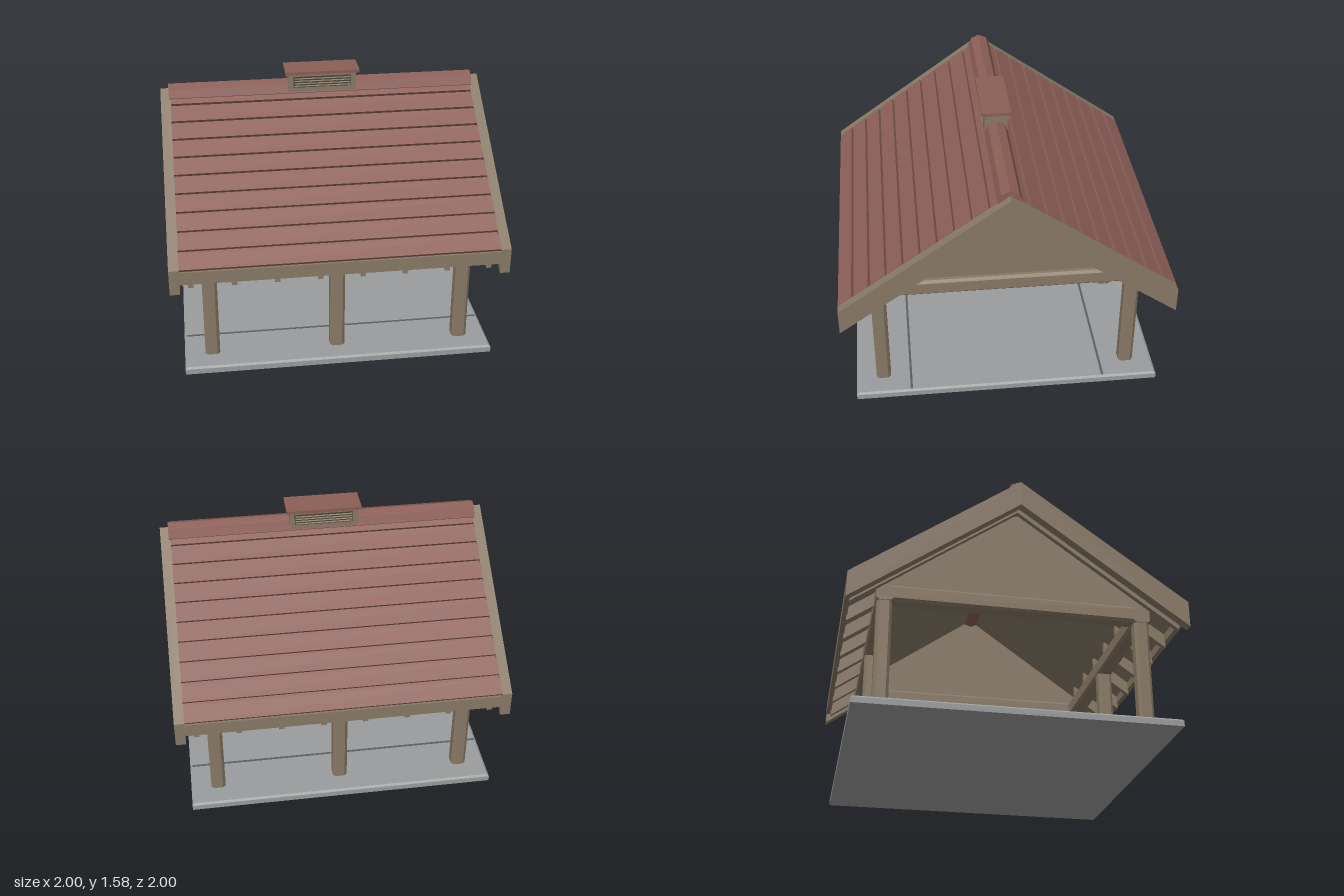
import * as THREE from 'three';

const flat = (name, color) => {
  const m = new THREE.MeshStandardMaterial({ color });
  m.name = name;
  return m;
};

export function createModel() {
  const timber = flat('timber', 0x887966);
  const red = flat('roof red', 0x8b5f57);
  const concrete = flat('concrete', 0x9b9c9d);
  const joint = flat('joint grey', 0x5c5e60);
  const shade = flat('louvre shade', 0x4b4337);
  const model = new THREE.Group();
  model.name = 'pavilion';

  const add = (name, geo, mat, x = 0, y = 0, z = 0) => {
    const mesh = new THREE.Mesh(geo, mat);
    mesh.name = name;
    mesh.position.set(x, y, z);
    model.add(mesh);
    return mesh;
  };
  const box = (name, mat, w, h, d, x, y, z) =>
    add(name, new THREE.BoxGeometry(w, h, d), mat, x, y, z);

  // Extrudes a [z, y] profile along x from x0 to x1
  const alongX = (name, mat, points, x0, x1) => {
    const shape = new THREE.Shape(points.map(([z, y]) => new THREE.Vector2(-z, y)));
    const geo = new THREE.ExtrudeGeometry(shape, { depth: x1 - x0, bevelEnabled: false });
    geo.rotateY(Math.PI / 2);
    return add(name, geo, mat, x0);
  };

  // Square timber with chamfered long edges, centred, running along z
  const chamfered = (size, length, c) => {
    const a = size / 2, b = a - c;
    const shape = new THREE.Shape(
      [[b, -a], [a, -b], [a, b], [b, a], [-b, a], [-a, b], [-a, -b], [-b, -a]]
        .map(([x, y]) => new THREE.Vector2(x, y)));
    return new THREE.ExtrudeGeometry(shape, { depth: length, bevelEnabled: false })
      .translate(0, 0, -length / 2);
  };

  // Floor slab with a bevelled top edge and two joints
  box('slab', concrete, 1.88, 0.034, 1.88, 0, 0.017, 0);
  const rim = new THREE.CylinderGeometry(0.928 * Math.SQRT2, 0.94 * Math.SQRT2, 0.011, 4, 1)
    .rotateY(Math.PI / 4).toNonIndexed();
  rim.computeVertexNormals();
  add('slabTop', rim, concrete, 0, 0.0395, 0);
  for (const z of [-0.6, 0.6]) box('slabJoint', joint, 1.85, 0.003, 0.014, 0, 0.0455, z);

  // Posts
  for (const z of [-0.77, 0.77]) {
    for (const x of [-0.77, 0, 0.77]) {
      const post = chamfered(0.09, 0.68, 0.017).rotateX(Math.PI / 2);
      add('post', post, timber, x, 0.38, z);
    }
  }

  // Ring of beams on the posts
  for (const s of [-1, 1]) {
    add('gableBeam', chamfered(0.1, 1.64, 0.015), timber, s * 0.77, 0.752, 0);
    add('eaveBeam', chamfered(0.1, 1.64, 0.015).rotateY(Math.PI / 2), timber, 0, 0.75, s * 0.77);
  }

  // Roof lines share one slope; height at distance z from the ridge
  const SLOPE = 0.715;
  const at = (top, z) => top - SLOPE * z;
  // Inverted V band between two roof lines
  const chevron = (top, bottom, z) => [
    [0, top], [z, at(top, z)], [z, at(bottom, z)],
    [0, bottom], [-z, at(bottom, z)], [-z, at(top, z)],
  ];

  alongX('roofDeck', timber, chevron(1.44, 1.415, 0.98), -0.94, 0.94);
  alongX('roofUnderlay', red, chevron(1.457, 1.44, 0.98), -0.94, 0.94);

  for (const s of [-1, 1]) {
    const x = s * 0.97;
    alongX('bargeboard', timber, chevron(1.48, 1.322, 1), x - 0.03, x + 0.03);
    alongX('gableWall', timber, [[-0.86, 0.8], [0.86, 0.8], [0, 1.415]],
      s * 0.77 - 0.015, s * 0.77 + 0.015);
    alongX('gableRafter', timber, chevron(1.42, 1.33, 0.975), s * 0.877 - 0.016, s * 0.877 + 0.016);
  }

  // Eaves: fascia, rafter tails and roof courses on both slopes
  const len = Math.hypot(1, SLOPE);
  const nz = SLOPE / len, ny = 1 / len, thick = 0.022;
  for (const s of [-1, 1]) {
    box('fascia', timber, 1.88, 0.08, 0.03, 0, 0.71, s * 0.985);

    for (let i = 1; i < 7; i++) {
      const x = -0.877 + i * 0.2506;
      alongX('rafterTail', timber, [
        [s * 0.74, at(1.42, 0.74)], [s * 0.975, at(1.42, 0.975)],
        [s * 0.975, at(1.33, 0.975)], [s * 0.74, at(1.33, 0.74)],
      ], x - 0.016, x + 0.016);
    }

    for (let i = 0; i < 10; i++) {
      const inner = i * 0.1 + (i ? 0.005 : 0.0);
      const outer = i * 0.1 + 0.087;
      const low = (z) => [s * z, at(1.457, z)];
      const high = (z) => [s * (z + nz * thick), at(1.457, z) + ny * thick];
      alongX('roofCourse', red, [low(inner), low(outer), high(outer), high(inner)], -0.94, 0.94);
    }
  }

  // Ridge cap
  const cap = new THREE.CylinderGeometry(0.072, 0.072, 1.9, 8).toNonIndexed();
  cap.computeVertexNormals();
  add('ridgeCap', cap.rotateZ(Math.PI / 2), red, 0, 1.438, 0);

  // Ridge vent with louvres front and back
  box('ventSaddle', red, 0.4, 0.05, 0.13, 0, 1.445, 0);
  box('ventBody', timber, 0.42, 0.115, 0.14, 0, 1.5025, 0);
  box('ventLid', red, 0.46, 0.02, 0.18, 0, 1.57, 0);
  for (const s of [-1, 1]) {
    box('ventOpening', shade, 0.36, 0.07, 0.004, 0, 1.507, s * 0.071);
    for (let i = 0; i < 4; i++) {
      const slat = box('ventSlat', timber, 0.35, 0.003, 0.014, 0, 1.483 + i * 0.016, s * 0.073);
      slat.rotation.x = s * 0.6;
    }
  }

  return model;
}
